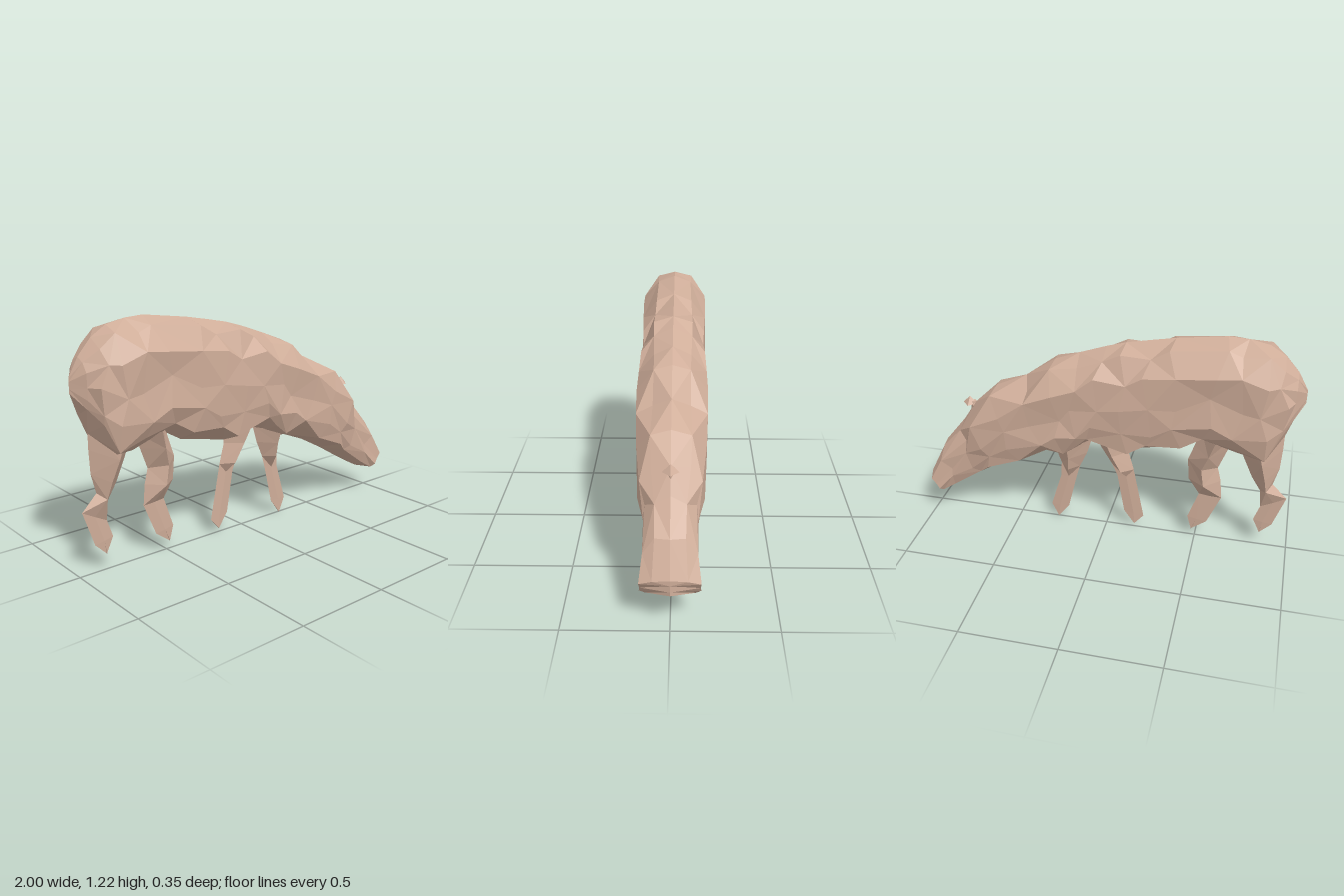
import * as THREE from 'three';

const hide = new THREE.MeshStandardMaterial({ color: 0xd0ae9a, flatShading: true, side: THREE.DoubleSide });

// Skin a list of closed rings of [x, y, z], alternating the diagonals for a faceted look
function loft(name, rings) {
  const pos = [];
  const n = rings[0].length;
  for (let i = 0; i < rings.length - 1; i++) {
    for (let j = 0; j < n; j++) {
      const k = (j + 1) % n;
      const a = rings[i][j], b = rings[i][k], c = rings[i + 1][k], d = rings[i + 1][j];
      // mirrored diagonals keep both flanks alike
      const flip = (i + (j < n / 2 ? j : n - j)) % 2 === 0;
      const tris = flip ? [a, b, c, a, c, d] : [a, b, d, b, c, d];
      for (const p of tris) pos.push(...p);
    }
  }
  const geo = new THREE.BufferGeometry();
  geo.setAttribute('position', new THREE.Float32BufferAttribute(pos, 3));
  geo.computeVertexNormals();
  const mesh = new THREE.Mesh(geo, hide);
  mesh.name = name;
  return mesh;
}

// Body stations from rump to snout: back x, y, belly x, y, half width
const BODY = [
  [-1, 0.97, -1, 0.9, 0], [-0.95, 1.06, -0.95, 0.8, 0.075], [-0.88, 1.14, -0.92, 0.7, 0.15],
  [-0.8, 1.19, -0.83, 0.56, 0.175], [-0.7, 1.21, -0.68, 0.57, 0.175], [-0.6, 1.215, -0.52, 0.64, 0.175],
  [-0.35, 1.18, -0.4, 0.57, 0.175], [-0.22, 1.155, -0.26, 0.54, 0.175], [-0.1, 1.13, -0.12, 0.51, 0.175],
  [0, 1.1, 0.07, 0.55, 0.175], [0.14, 1.05, 0.14, 0.5, 0.175], [0.27, 1, 0.2, 0.46, 0.175],
  [0.43, 0.89, 0.3, 0.46, 0.175], [0.6, 0.81, 0.45, 0.4, 0.175], [0.73, 0.69, 0.6, 0.32, 0.16],
  [0.8, 0.58, 0.7, 0.26, 0.13], [0.92, 0.43, 0.83, 0.185, 0.13], [1, 0.27, 0.915, 0.14, 0.14],
  [1, 0.26, 1, 0.19, 0],
];
// Half cross-section: share of the way down, share of the half width
const SECTION = [[0, 0], [0.07, 0.57], [0.24, 1], [0.5, 0.98], [0.72, 1], [0.88, 0.83], [1, 0]];

function bodyRing([tx, ty, bx, by, w], i) {
  const half = SECTION.map(([t, s], j) => {
    const inner = j > 0 && j < SECTION.length - 1 && w > 0.1 && i < BODY.length - 2;
    // small regular wobble makes the facets uneven
    const dx = inner ? 0.022 * Math.sin(i * 2.7 + j * 4.1) : 0;
    const dy = inner ? 0.018 * Math.sin(i * 3.9 + j * 2.3) : 0;
    const dz = inner ? 0.05 * (Math.sin(i * 5.3 + j * 3.1) - 1) : 0;
    return [tx + (bx - tx) * t + dx, ty + (by - ty) * t + dy, w * s * (1 + dz)];
  });
  const mirror = half.slice(1, -1).reverse().map(([x, y, z]) => [x, y, -z]);
  return [...half, ...mirror];
}

// Leg stations from hip to toe: rear x, y, front x, y, half thickness (the shanks are thin blades)
const THIN = 0.004;
const LEGS = {
  outerHindLeg: [
    [-0.92, 0.74, -0.68, 0.66, 0.14], [-0.92, 0.62, -0.73, 0.54, 0.12], [-0.915, 0.5, -0.78, 0.43, 0.08],
    [-0.89, 0.4, -0.83, 0.35, 0.05], [-0.97, 0.32, -0.84, 0.25, THIN], [-0.91, 0.14, -0.81, 0.16, THIN],
    [-0.85, 0.08, -0.848, 0.08, THIN]],
  innerHindLeg: [
    [-0.67, 0.66, -0.5, 0.68, 0.12], [-0.64, 0.57, -0.47, 0.58, 0.1], [-0.6, 0.46, -0.44, 0.49, 0.07],
    [-0.62, 0.38, -0.45, 0.37, 0.07], [-0.63, 0.27, -0.51, 0.28, THIN], [-0.56, 0.1, -0.455, 0.12, THIN],
    [-0.48, 0.04, -0.478, 0.04, THIN]],
  innerForeleg: [
    [-0.12, 0.58, 0.08, 0.6, 0.11], [-0.12, 0.49, 0.03, 0.5, 0.08], [-0.15, 0.38, -0.03, 0.4, 0.06],
    [-0.16, 0.33, -0.06, 0.33, THIN], [-0.21, 0.08, -0.1, 0.1, THIN], [-0.16, 0.02, -0.158, 0.02, THIN]],
  outerForeleg: [
    [0.08, 0.55, 0.31, 0.52, 0.11], [0.11, 0.45, 0.28, 0.44, 0.08], [0.15, 0.36, 0.255, 0.37, 0.06],
    [0.17, 0.29, 0.26, 0.28, THIN], [0.22, 0.08, 0.32, 0.08, THIN], [0.279, 0, 0.281, 0, THIN]],
};

// Diamond ring: front edge, near side, rear edge, far side
function legRing([rx, ry, fx, fy, w]) {
  const x = (rx + fx) / 2, y = (ry + fy) / 2;
  return [[fx, fy, 0], [x, y, w], [rx, ry, 0], [x, y, -w]];
}

export function createModel() {
  const model = new THREE.Group();
  model.name = 'grazingAnimal';

  model.add(loft('body', BODY.map(bodyRing)));
  for (const [name, stations] of Object.entries(LEGS)) model.add(loft(name, stations.map(legRing)));

  // Small pointed crest at the brow, with a short stalk
  const crest = new THREE.Group();
  crest.name = 'browCrest';
  const tip = new THREE.Mesh(new THREE.ConeGeometry(0.04, 0.04, 4), hide);
  tip.name = 'crestTip';
  tip.position.set(0.762, 0.7, 0);
  const stalk = new THREE.Mesh(new THREE.CylinderGeometry(0.016, 0.02, 0.05, 4), hide);
  stalk.name = 'crestStalk';
  stalk.position.set(0.74, 0.67, 0);
  crest.add(tip, stalk);
  model.add(crest);

  return model;
}
